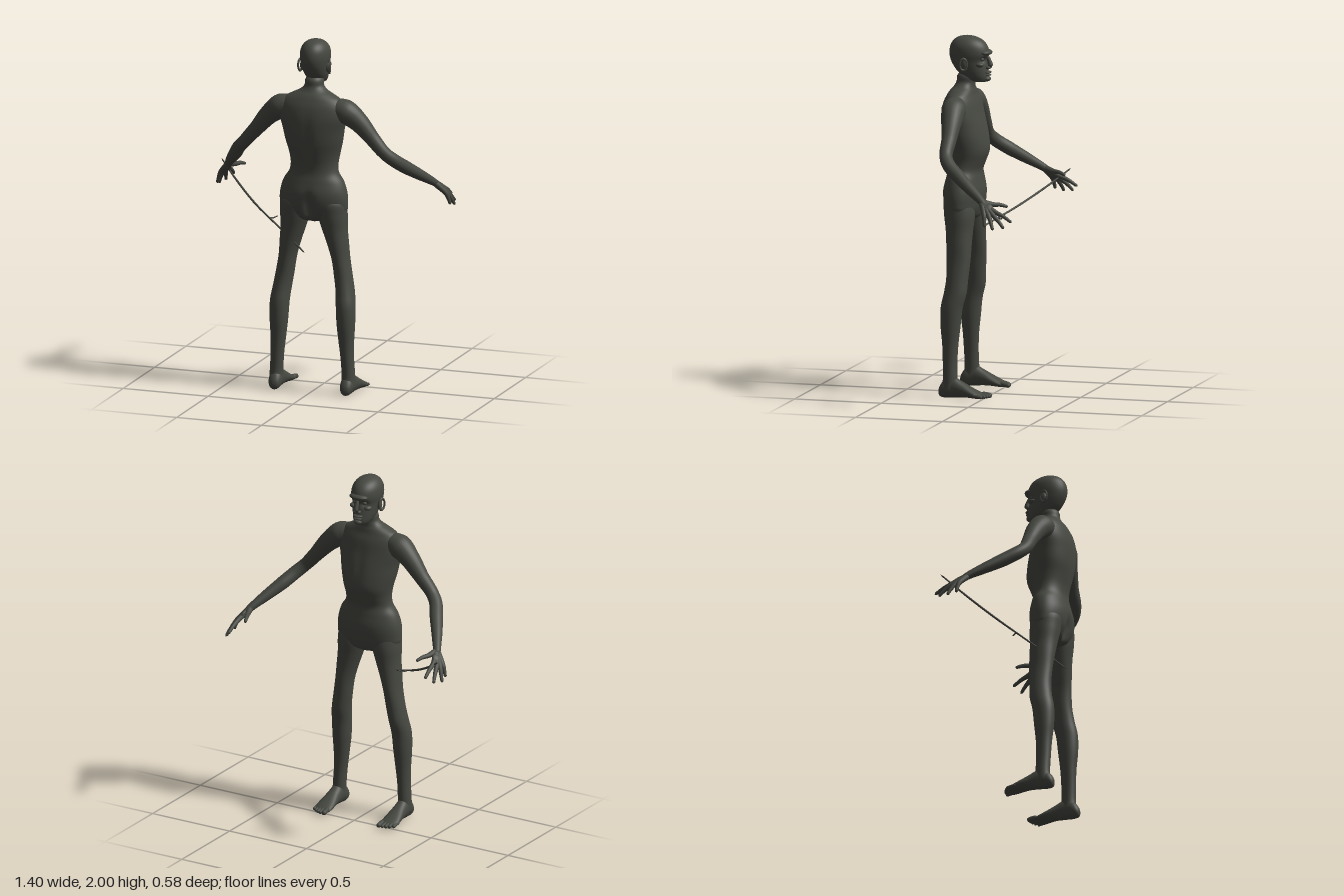
import * as THREE from 'three';
import { mergeVertices } from 'three/addons/utils/BufferGeometryUtils.js';

const skin = new THREE.MeshStandardMaterial({ color: 0x464841 });
skin.name = 'darkSkin';

function addMesh(group, name, geometry) {
  const mesh = new THREE.Mesh(geometry, skin);
  mesh.name = name;
  group.add(mesh);
  return mesh;
}

function smoothed(geometry) {
  geometry.deleteAttribute('uv');
  geometry.deleteAttribute('normal');
  const g = mergeVertices(geometry, 1e-5);
  g.computeVertexNormals();
  return g;
}

const spline = (a, b, c, d, t) =>
  0.5 * (2 * b + (c - a) * t + (2 * a - 5 * b + 4 * c - d) * t * t + (3 * b - a - 3 * c + d) * t * t * t);

// Closed skin through smoothly interpolated rings; place(ring, cos, sin) gives a point
function loft(rings, place, sub = 5, sides = 36) {
  const at = (i) => rings[Math.min(Math.max(i, 0), rings.length - 1)];
  const rows = [];
  for (let i = 0; i < rings.length - 1; i++)
    for (let k = 0; k < sub; k++)
      rows.push(rings[i].map((_, n) => spline(at(i - 1)[n], at(i)[n], at(i + 1)[n], at(i + 2)[n], k / sub)));
  rows.push(at(rings.length));
  const pos = [], idx = [];
  rows.forEach((r, i) => {
    for (let j = 0; j < sides; j++) {
      const a = (j / sides) * Math.PI * 2;
      pos.push(...place(r, Math.cos(a), Math.sin(a)));
      if (i === rows.length - 1) continue;
      const p = i * sides + j, q = i * sides + ((j + 1) % sides);
      idx.push(p, p + sides, q, q, p + sides, q + sides);
    }
  });
  const g = new THREE.BufferGeometry();
  g.setAttribute('position', new THREE.Float32BufferAttribute(pos, 3));
  g.setIndex(idx);
  return smoothed(g);
}

// Tapered round limb through [x, y, z, radius] points, with rounded ends
function limb(points, s = 1, n = 30, sides = 14) {
  const curve = new THREE.CatmullRomCurve3(points.map((p) => new THREE.Vector3(p[0] * s, p[1], p[2])));
  const g = new THREE.TubeGeometry(curve, n, 1, sides);
  const pos = g.attributes.position, v = new THREE.Vector3(), len = curve.getLength();
  for (let i = 0; i <= n; i++) {
    const u = i / n, f = curve.getUtoTmapping(u) * (points.length - 1);
    const k = Math.min(Math.floor(f), points.length - 2);
    let r = THREE.MathUtils.lerp(points[k][3], points[k + 1][3], f - k);
    const edge = Math.min(1, (Math.min(u, 1 - u) * len) / r);
    r *= Math.sqrt(1 - (1 - edge) ** 2);
    const c = curve.getPointAt(u);
    for (let j = 0; j <= sides; j++) {
      const m = i * (sides + 1) + j;
      v.fromBufferAttribute(pos, m).sub(c).multiplyScalar(r).add(c);
      pos.setXYZ(m, v.x, v.y, v.z);
    }
  }
  return smoothed(g);
}

function ball(group, name, p, size) {
  const mesh = addMesh(group, name, new THREE.SphereGeometry(1, 24, 16));
  mesh.position.set(...p);
  mesh.scale.set(...size);
  return mesh;
}

const bump = (v, c, w) => Math.exp(-(((v - c) / w) ** 2));

// Torso and neck: y, half width, front z, back z
function buildTorso(group) {
  const rings = [
    [0.96, 0, 0.16, 0.16], [0.985, 0.1, 0.09, 0.23], [1.03, 0.185, 0.068, 0.258], [1.08, 0.197, 0.058, 0.274],
    [1.14, 0.193, 0.055, 0.278], [1.2, 0.174, 0.064, 0.265], [1.25, 0.142, 0.068, 0.255], [1.3, 0.136, 0.05, 0.258],
    [1.36, 0.146, 0.03, 0.272], [1.43, 0.164, 0.035, 0.287], [1.5, 0.178, 0.05, 0.292], [1.57, 0.195, 0.07, 0.289],
    [1.63, 0.19, 0.085, 0.276], [1.67, 0.163, 0.1, 0.258], [1.695, 0.12, 0.106, 0.243], [1.715, 0.08, 0.11, 0.226],
    [1.74, 0.055, 0.108, 0.213], [1.78, 0.048, 0.1, 0.205], [1.82, 0, 0.15, 0.15],
  ];
  addMesh(group, 'torso', loft(rings, ([y, w, zf, zb], c, s) => {
    const x = w * c;
    let z = (zf + zb) / 2 + ((zb - zf) / 2) * s;
    // cleft and spine at the back, breastbone at the front
    if (s > 0) z -= 0.035 * bump(x, 0, 0.025) * bump(y, 1.06, 0.07) + 0.007 * bump(x, 0, 0.025) * bump(y, 1.45, 0.15);
    else z += 0.006 * bump(x, 0, 0.025) * bump(y, 1.5, 0.1);
    return [x, y, z];
  }, 5, 56));
}

// Head: y, half width, front z, back z
function buildHead(group) {
  const head = new THREE.Group();
  head.name = 'head';
  group.add(head);
  const rings = [
    [1.738, 0, 0.075, 0.075], [1.745, 0.035, 0.04, 0.12], [1.765, 0.052, 0.03, 0.17], [1.795, 0.063, 0.032, 0.205],
    [1.825, 0.07, 0.036, 0.228], [1.86, 0.076, 0.038, 0.246], [1.9, 0.082, 0.028, 0.254], [1.94, 0.079, 0.038, 0.248],
    [1.97, 0.064, 0.062, 0.23], [1.99, 0.039, 0.1, 0.2], [2, 0, 0.15, 0.15],
  ];
  addMesh(head, 'skull', loft(rings, ([y, w, zf, zb], c, s) => {
    let z = (zf + zb) / 2 + ((zb - zf) / 2) * s;
    // eye sockets
    if (s < 0) z += 0.016 * bump(Math.abs(w * c), 0.032, 0.016) * bump(y, 1.868, 0.016);
    return [w * c, y, z];
  }, 6, 48));
  ball(head, 'brow', [0, 1.907, 0.046], [0.056, 0.017, 0.034]);
  addMesh(head, 'nose', limb([[0, 1.89, 0.04, 0.01], [0, 1.855, 0.024, 0.012], [0, 1.826, 0.017, 0.016]]));
  ball(head, 'upperLip', [0, 1.797, 0.04], [0.03, 0.008, 0.026]);
  ball(head, 'lowerLip', [0, 1.782, 0.04], [0.027, 0.007, 0.024]);
  ball(head, 'chin', [0, 1.76, 0.042], [0.026, 0.016, 0.024]);
  for (const s of [1, -1]) {
    ball(head, 'eye', [0.031 * s, 1.87, 0.06], [0.013, 0.011, 0.013]);
    ball(head, 'nostril', [0.014 * s, 1.823, 0.03], [0.01, 0.009, 0.014]);
    ball(head, 'cheekbone', [0.046 * s, 1.842, 0.07], [0.021, 0.014, 0.025]);
    ball(head, 'earBase', [0.076 * s, 1.842, 0.145], [0.012, 0.03, 0.018]);
    const rim = addMesh(head, 'earRim', new THREE.TorusGeometry(0.024, 0.006, 8, 24));
    rim.position.set(0.086 * s, 1.845, 0.15);
    rim.rotation.y = Math.PI / 2 + 0.3 * s;
    rim.scale.set(0.85, 1.35, 1);
  }
}

function buildArm(group, s) {
  const arm = new THREE.Group();
  arm.name = s > 0 ? 'leftArm' : 'rightArm';
  group.add(arm);
  addMesh(arm, 'armLength', limb([
    [0.09, 1.63, 0.18, 0.05], [0.19, 1.605, 0.175, 0.07], [0.26, 1.553, 0.165, 0.056], [0.34, 1.463, 0.158, 0.042],
    [0.41, 1.385, 0.154, 0.036], [0.453, 1.342, 0.125, 0.037], [0.5, 1.288, 0.055, 0.037],
    [0.55, 1.235, -0.02, 0.031], [0.6, 1.18, -0.1, 0.022], [0.622, 1.152, -0.135, 0.018],
  ], s, 60, 24));
  const palm = ball(arm, 'palm', [0.633 * s, 1.138, -0.148], [0.036, 0.036, 0.016]);
  palm.lookAt(palm.position.x - 0.72 * s, palm.position.y - 0.53, palm.position.z + 0.134);
  // knuckle, then tip
  const fingers = {
    thumb: [[0.588, 1.158, -0.168], [0.555, 1.143, -0.247]],
    indexFinger: [[0.632, 1.125, -0.192], [0.64, 1.07, -0.292]],
    middleFinger: [[0.65, 1.11, -0.186], [0.675, 1.038, -0.258]],
    ringFinger: [[0.661, 1.105, -0.166], [0.695, 1.03, -0.2]],
    littleFinger: [[0.664, 1.107, -0.141], [0.687, 1.043, -0.15]],
  };
  for (const [name, [knuckle, tip]] of Object.entries(fingers)) {
    const mid = knuckle.map((v, i) => (v + tip[i]) / 2 + (i === 1 ? 0.005 : 0));
    addMesh(arm, name, limb([[0.606, 1.172, -0.11, 0.019], [...knuckle, 0.014], [...mid, 0.011], [...tip, 0.008]], s, 26, 12));
  }
}

function buildLeg(group, s) {
  const leg = new THREE.Group();
  leg.name = s > 0 ? 'leftLeg' : 'rightLeg';
  group.add(leg);
  // y, centre x, half width, front z, back z
  const rings = [
    [0.03, 0.212, 0, 0.2, 0.2], [0.035, 0.212, 0.035, 0.15, 0.24], [0.1, 0.212, 0.037, 0.148, 0.23],
    [0.2, 0.206, 0.037, 0.15, 0.232], [0.3, 0.2, 0.043, 0.146, 0.237], [0.4, 0.197, 0.051, 0.135, 0.247],
    [0.5, 0.194, 0.054, 0.124, 0.247], [0.58, 0.185, 0.052, 0.104, 0.232], [0.66, 0.172, 0.051, 0.098, 0.222],
    [0.76, 0.156, 0.05, 0.09, 0.224], [0.85, 0.139, 0.06, 0.088, 0.231], [0.93, 0.122, 0.071, 0.085, 0.239],
    [1.02, 0.108, 0.085, 0.08, 0.252], [1.1, 0.1, 0.08, 0.1, 0.25], [1.14, 0.1, 0, 0.17, 0.17],
  ];
  addMesh(leg, 'legLength', loft(rings, ([y, cx, w, zf, zb], c, n) =>
    [s * cx + w * c, y, (zf + zb) / 2 + ((zb - zf) / 2) * n]));
  // z, centre x, half width, bottom y, top y
  const foot = [
    [0.256, 0.21, 0, 0.035, 0.035], [0.248, 0.21, 0.024, 0.008, 0.065], [0.22, 0.21, 0.036, 0, 0.1],
    [0.17, 0.212, 0.037, 0.002, 0.118], [0.12, 0.213, 0.041, 0.006, 0.094], [0.07, 0.214, 0.049, 0.005, 0.066],
    [0.03, 0.214, 0.051, 0.002, 0.045], [0, 0.212, 0.042, 0.003, 0.03], [-0.012, 0.21, 0, 0.015, 0.015],
  ];
  addMesh(leg, 'foot', loft(foot, ([z, cx, w, y0, y1], c, n) =>
    [s * cx + w * c, Math.max(0, (y0 + y1) / 2 + ((y1 - y0) / 2) * n), z]));
  // big toe on the inner side
  for (let i = 0; i < 5; i++) {
    const r = i === 0 ? 0.014 : 0.0095, x = i === 0 ? 0.178 : 0.183 + i * 0.0185;
    const tip = -0.042 + 0.002 * i * i;
    addMesh(leg, 'toe', limb([[x + 0.002, 0.026, tip + 0.06, r], [x, 0.02, tip + 0.025, r], [x, 0.0145, tip, r]], s, 20, 12));
  }
}

// Thin bent stick with a small twig
function buildStick(group) {
  const stick = new THREE.Group();
  stick.name = 'stick';
  group.add(stick);
  addMesh(stick, 'shaft', limb([
    [-0.695, 1.163, -0.24, 0.004], [-0.555, 1.066, -0.125, 0.006], [-0.41, 0.982, -0.012, 0.006],
    [-0.28, 0.923, 0.08, 0.005], [-0.15, 0.866, 0.17, 0.005], [-0.02, 0.803, 0.26, 0.004],
  ], 1, 50, 10));
  addMesh(stick, 'twig', limb([[-0.305, 0.932, 0.066, 0.004], [-0.285, 0.928, 0.045, 0.004], [-0.262, 0.938, 0.032, 0.003]]));
}

export function createModel() {
  const figure = new THREE.Group();
  figure.name = 'figure';
  buildTorso(figure);
  buildHead(figure);
  for (const s of [1, -1]) {
    buildArm(figure, s);
    buildLeg(figure, s);
  }
  buildStick(figure);
  return figure;
}
